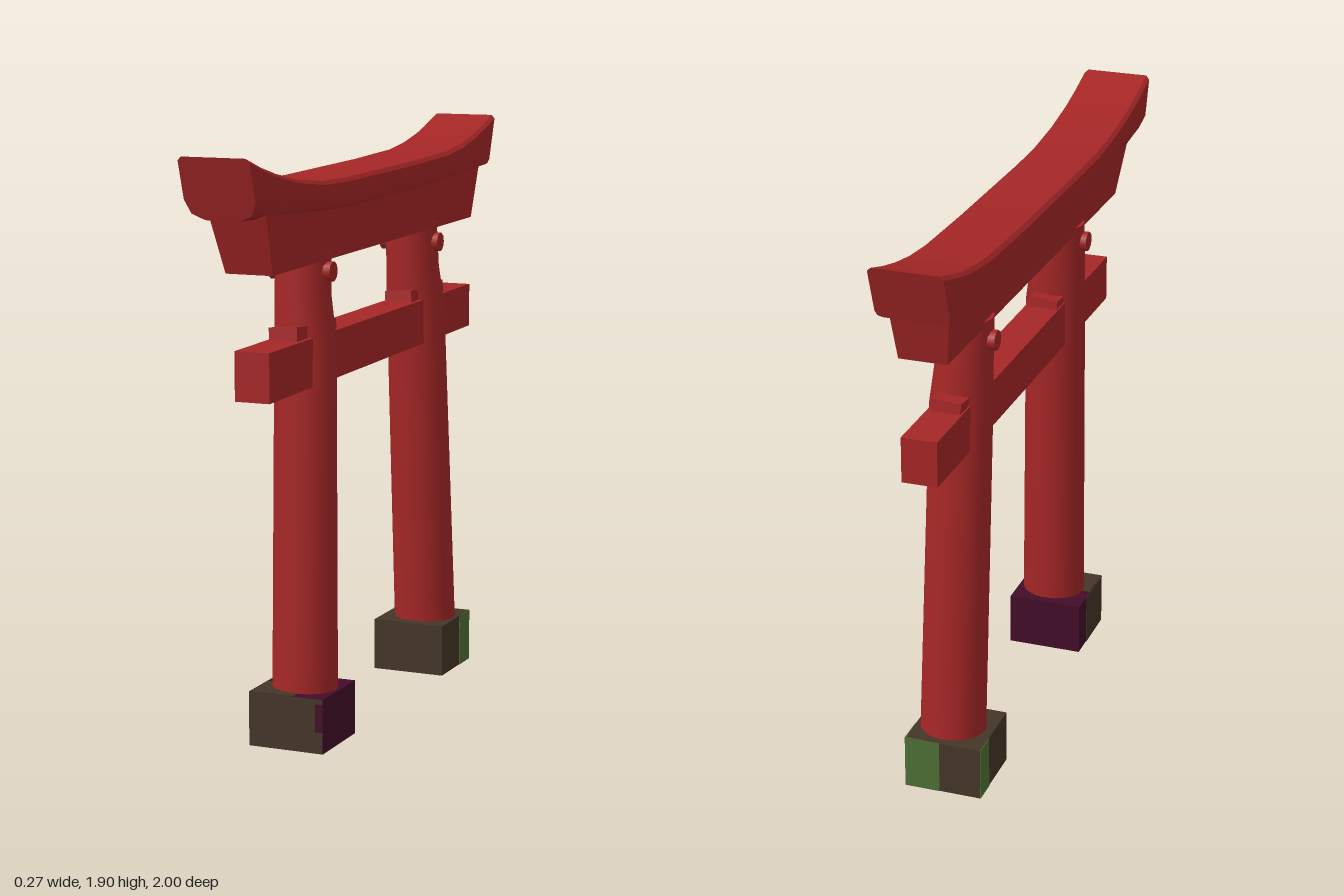
import * as THREE from 'three';
import { toCreasedNormals } from 'three/addons/utils/BufferGeometryUtils.js';

const flat = (name, color) => {
  const m = new THREE.MeshStandardMaterial({ color });
  m.name = name;
  return m;
};

// Closed solid through a list of equal-length rings of [x, y, z]
function loft(rings, crease = 0.6) {
  const n = rings[0].length, last = (rings.length - 1) * n, index = [];
  for (let s = 0; s < rings.length - 1; s++) {
    for (let i = 0; i < n; i++) {
      const a = s * n + i, b = s * n + (i + 1) % n;
      index.push(a, b, b + n, a, b + n, a + n);
    }
  }
  for (let i = 1; i < n - 1; i++) {
    index.push(0, i + 1, i, last, last + i, last + i + 1);
  }
  const g = new THREE.BufferGeometry();
  g.setAttribute('position', new THREE.Float32BufferAttribute(rings.flat(2), 3));
  g.setIndex(index);
  return toCreasedNormals(g, crease);
}

export function createModel() {
  const root = new THREE.Group();
  root.name = 'gate';
  const red = flat('red paint', 0xa52626);
  const purple = flat('dark plum stone', 0x420d28);
  const brown = flat('brown stone', 0x453528);
  const green = flat('moss green', 0x4f6f35);

  const add = (name, geometry, material, x = 0, y = 0, z = 0) => {
    const m = new THREE.Mesh(geometry, material);
    m.name = name;
    m.position.set(x, y, z);
    root.add(m);
    return m;
  };
  const box = (w, h, d) => new THREE.BoxGeometry(w, h, d);

  // Curved top lintel: [z, underside y, top y, x centre, lower corner cut]
  const roof = [
    [-1, 1.725, 1.897, -0.018, 0.02], [-0.9, 1.722, 1.866, -0.016, 0.02],
    [-0.8, 1.717, 1.84, -0.014, 0.02], [-0.68, 1.712, 1.817, -0.012, 0.02],
    [-0.55, 1.708, 1.802, -0.01, 0.02], [-0.25, 1.7, 1.792, -0.01, 0.02],
    [0, 1.693, 1.788, -0.01, 0.02], [0.3, 1.69, 1.783, -0.01, 0.02],
    [0.47, 1.692, 1.786, -0.012, 0.025], [0.65, 1.697, 1.805, -0.014, 0.03],
    [0.8, 1.7, 1.834, -0.016, 0.04], [0.9, 1.702, 1.86, -0.016, 0.05],
    [1, 1.704, 1.893, -0.017, 0.06],
  ];
  const w = 0.116;
  add('topLintel', loft(roof.map(([z, lo, hi, cx, cut]) => [
    [-w + cut, lo], [w - cut, lo], [w - cut * 0.3, lo + cut * 0.3], [w, lo + cut],
    [w, hi - 0.012], [w - 0.012, hi], [-w + 0.012, hi], [-w, hi - 0.012],
    [-w, lo + cut], [-w + cut * 0.3, lo + cut * 0.3],
  ].map(([x, y]) => [x + cx, y, z * (0.94 + 0.06 * (y - lo) / (hi - lo))]))), red);

  // Flared second lintel
  add('lowerLintel', loft([
    [[-0.08, 1.552, -0.83], [0.075, 1.552, -0.83], [0.085, 1.73, -0.878], [-0.105, 1.73, -0.878]],
    [[-0.08, 1.53, 0.795], [0.075, 1.53, 0.795], [0.085, 1.72, 0.86], [-0.105, 1.72, 0.86]],
  ]), red);

  // Tie beam through the posts
  add('tieBeam', loft([
    [[-0.055, 1.165, -0.86], [0.06, 1.165, -0.86], [0.06, 1.312, -0.86], [-0.055, 1.312, -0.86]],
    [[-0.055, 1.143, 0.79], [0.06, 1.143, 0.79], [0.06, 1.297, 0.79], [-0.055, 1.297, 0.79]],
  ]), red);

  // Leaning round posts: [y, x centre, z centre, x radius, z radius]
  const post = (name, stations) => add(name, loft(stations.map(([y, cx, cz, rx, rz]) =>
    Array.from({ length: 24 }, (_, i) => {
      const a = i / 24 * Math.PI * 2;
      return [cx + rx * Math.cos(a), y, cz - rz * Math.sin(a)];
    }))), red);
  post('frontPost', [[0.15, 0.013, 0.438, 0.107, 0.094], [1.28, 0.002, 0.403, 0.1, 0.088],
    [1.42, -0.008, 0.398, 0.09, 0.086], [1.56, -0.008, 0.394, 0.088, 0.085]]);
  post('backPost', [[0.15, 0.013, -0.574, 0.107, 0.097], [1.28, 0.002, -0.503, 0.1, 0.09],
    [1.42, -0.006, -0.494, 0.09, 0.088], [1.57, -0.008, -0.484, 0.088, 0.086]]);

  // Wedges on the beam, either side of each post
  for (const [z, y, s] of [[0.518, 1.315, 1], [0.3, 1.308, -1], [-0.4, 1.318, 1], [-0.608, 1.322, -1]]) {
    const wedge = add('wedge', box(0.095, 0.045, 0.08), red, -0.003, y, z);
    wedge.rotation.set(-0.08 * s, 0, 0.07);
  }

  // Round pegs at the post tops
  for (const z of [0.4, -0.49]) {
    const peg = add('peg', new THREE.CylinderGeometry(0.032, 0.032, 0.21, 10), red, -0.008, 1.5, z);
    peg.rotation.z = Math.PI / 2;
  }

  // Foot stones; face materials run +x, -x, top, bottom, +z, -z
  const size = 0.253, h = 0.176, x0 = 0.004, t = 0.004;
  add('frontFoot', box(size, h, size),
    [purple, purple, purple, purple, brown, purple], x0, h / 2, 0.438);
  add('frontFootSidePatch', box(t, h, 0.17), brown, x0 - size / 2, h / 2, 0.478);
  add('frontFootTopPatch', box(0.15, t, 0.13), brown, x0 - 0.05, h, 0.498);
  add('frontFootEdgePatch', box(0.025, 0.09, t), purple, x0 + 0.114, 0.115, 0.438 + size / 2);
  add('backFoot', box(size, h, size), brown, x0, h / 2, -0.569);
  add('mossRight', box(t, h, 0.092), green, x0 + size / 2, h / 2, -0.65);
  add('mossLeft', box(t, h, 0.08), green, x0 - size / 2, h / 2, -0.655);
  add('mossBack', box(0.115, h, t), green, x0 + 0.069, h / 2, -0.569 - size / 2);
  return root;
}
